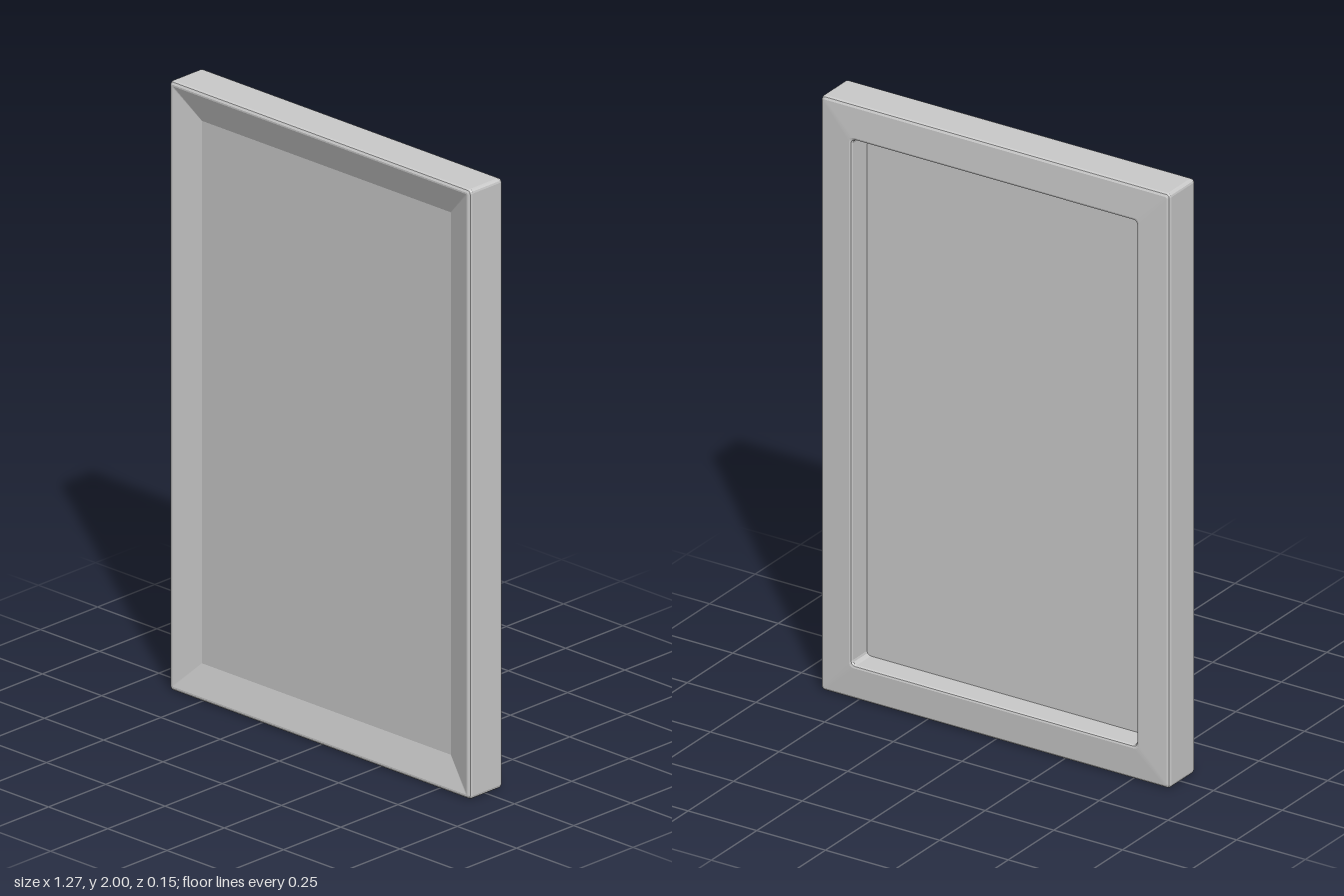
import * as THREE from 'three';

const W = 0.635, H = 1.0; // half width, half height

// Rounded rectangle loop, counter-clockwise seen from the front
function ring([inset, radius, z], steps = 3) {
  const pts = [];
  const corners = [[1, 1], [-1, 1], [-1, -1], [1, -1]];
  corners.forEach(([sx, sy], c) => {
    const cx = sx * (W - inset - radius), cy = H + sy * (H - inset - radius);
    for (let i = 0; i <= steps; i++) {
      const a = (c + i / steps) * Math.PI / 2;
      pts.push([cx + radius * Math.cos(a), cy + radius * Math.sin(a), z]);
    }
  });
  return pts;
}

// Skin a sequence of loops with faceted quads
function loft(sections) {
  const rings = sections.map((s) => ring(s));
  const pos = [];
  for (let k = 0; k < rings.length - 1; k++) {
    const a = rings[k], b = rings[k + 1], n = a.length;
    for (let i = 0; i < n; i++) {
      const j = (i + 1) % n;
      pos.push(...a[i], ...b[i], ...b[j], ...a[i], ...b[j], ...a[j]);
    }
  }
  const g = new THREE.BufferGeometry();
  g.setAttribute('position', new THREE.Float32BufferAttribute(pos, 3));
  g.computeVertexNormals();
  return g;
}

export function createModel() {
  const group = new THREE.Group();
  group.name = 'pictureFrame';
  const material = new THREE.MeshStandardMaterial({ color: 0xcccccc, flatShading: true });

  // Moulding: inset, corner radius, z, from the front opening round to the back opening
  const frame = new THREE.Mesh(loft([
    [0.11, 0.001, 0.045],   // foot of the front slope
    [0.015, 0.004, 0.075],  // lip
    [0.010, 0.006, 0.075],
    [0.003, 0.010, 0.071],  // front edge bevel
    [0, 0.012, 0.064],
    [0, 0.012, -0.058],     // outer side
    [0.003, 0.010, -0.065], // back edge bevel
    [0.010, 0.006, -0.069],
    [0.108, 0.014, -0.075], // gently raised back face
    [0.114, 0.014, -0.073], // rim of the back recess
    [0.117, 0.014, -0.067],
    [0.117, 0.014, 0.011],  // recess wall
  ]), material);
  frame.name = 'frame';
  group.add(frame);

  // Flat panel between the front slope and the back recess
  const panel = new THREE.Mesh(
    new THREE.BoxGeometry(2 * (W - 0.11), 2 * (H - 0.11), 0.035), material);
  panel.position.set(0, H, 0.0275);
  panel.name = 'panel';
  group.add(panel);

  return group;
}
